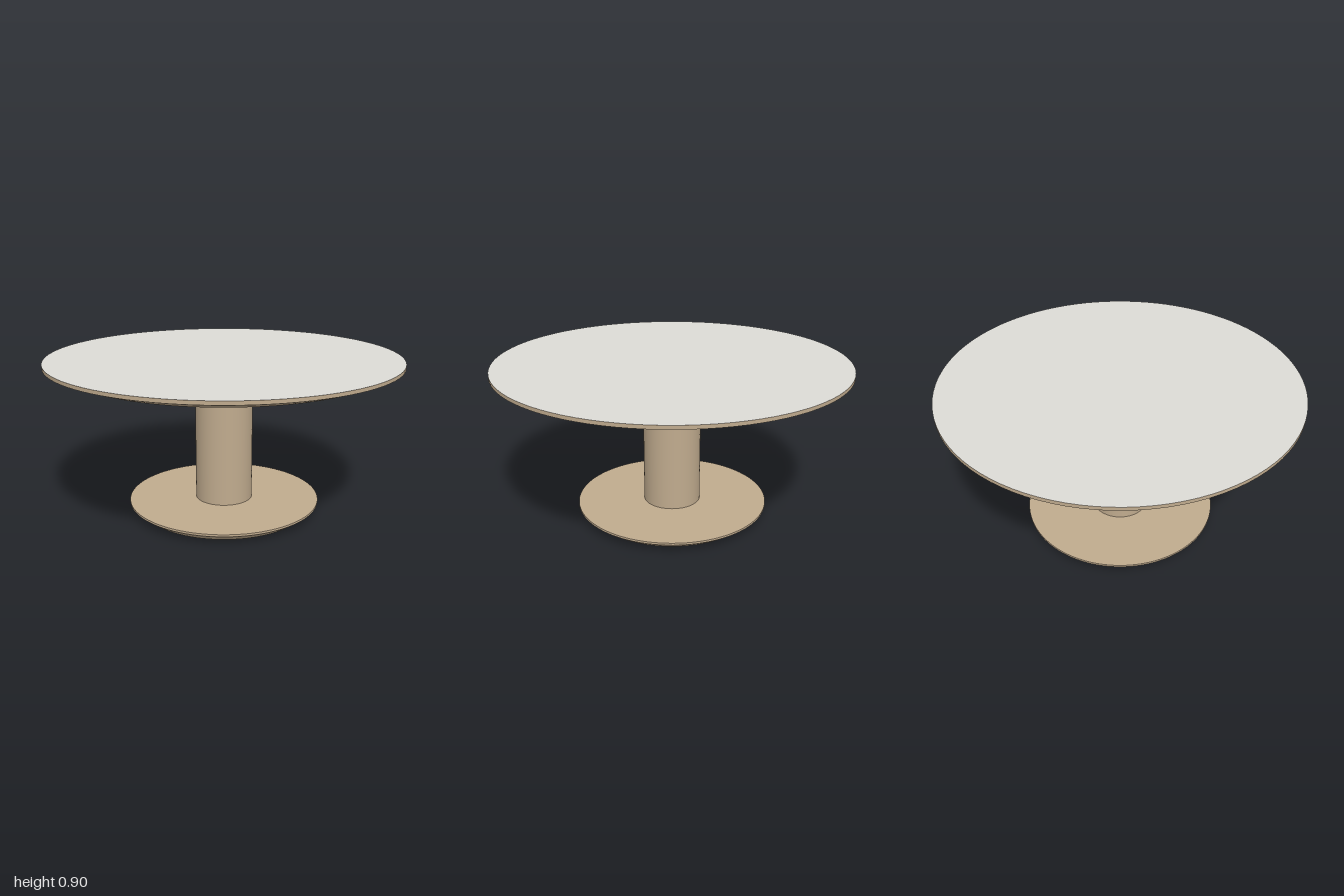
import * as THREE from 'three';

const SEGMENTS = 96;

export function createModel() {
  const wood = new THREE.MeshStandardMaterial({ color: 0xc0ab8e });
  wood.name = 'wood';
  const stone = new THREE.MeshStandardMaterial({ color: 0xdddbd6 });
  stone.name = 'pale stone';

  const table = new THREE.Group();
  table.name = 'pedestalTable';

  // Upright cylinder between two heights; materials are [side, top, bottom]
  function disc(name, parent, rTop, rBottom, y0, y1, materials = wood, open = false) {
    const geometry = new THREE.CylinderGeometry(rTop, rBottom, y1 - y0, SEGMENTS, 1, open);
    const mesh = new THREE.Mesh(geometry, materials);
    mesh.name = name;
    mesh.position.y = (y0 + y1) / 2;
    parent.add(mesh);
  }

  // Round slab with an upright rim above a bevelled underside
  function slab(name, r, rUnder, y0, yRim, y1, face) {
    const group = new THREE.Group();
    group.name = name;
    disc(name + 'Bevel', group, r, rUnder, y0, yRim);
    disc(name + 'Rim', group, r, r, yRim, y1, wood, true);
    const top = new THREE.Mesh(new THREE.CircleGeometry(r, SEGMENTS), face);
    top.name = name + 'Face';
    top.rotation.x = -Math.PI / 2;
    top.position.y = y1;
    group.add(top);
    table.add(group);
  }

  slab('base', 0.555, 0.488, 0, 0.048, 0.06, wood);
  disc('column', table, 0.165, 0.165, 0.06, 0.8);
  disc('supportPlate', table, 0.442, 0.442, 0.8, 0.84);
  slab('tabletop', 1, 0.888, 0.84, 0.88, 0.9, stone);

  return table;
}
